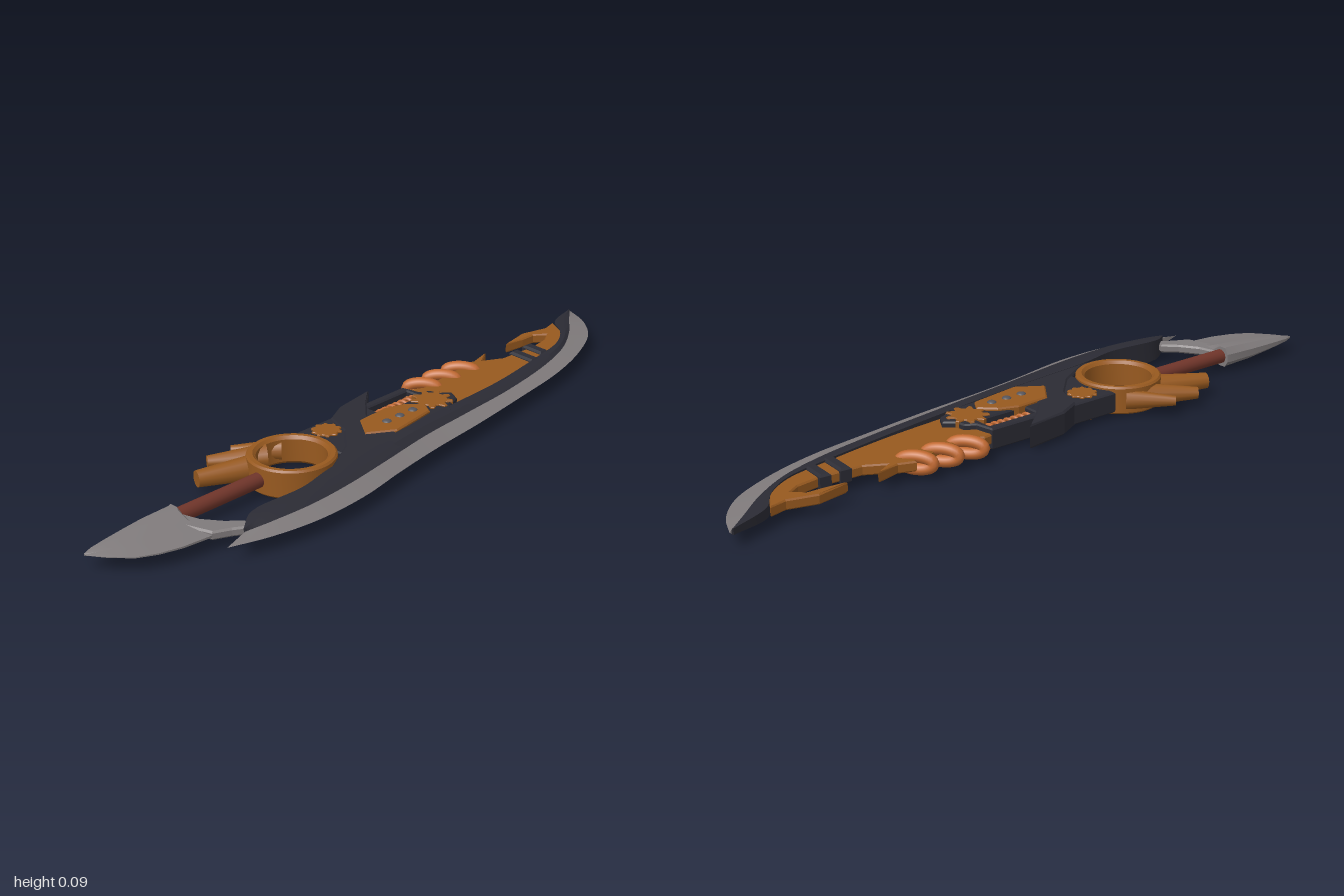
import * as THREE from 'three';
import { toCreasedNormals } from 'three/addons/utils/BufferGeometryUtils.js';

const MID = 0.039; // height of the symmetry plane

const mat = (name, color) => {
  const m = new THREE.MeshStandardMaterial({ color });
  m.name = name;
  return m;
};

// Flat plate: outline in (x, z), centred on the symmetry plane
function plate(points, thick, bevel = 0, holes = []) {
  const toVec = (p) => new THREE.Vector2(p[0], p[1]);
  const shape = new THREE.Shape(points.map(toVec));
  holes.forEach((h) => shape.holes.push(new THREE.Path(h.map(toVec))));
  const depth = thick - 2 * bevel;
  const g = new THREE.ExtrudeGeometry(shape, {
    depth, bevelEnabled: bevel > 0, bevelSize: bevel, bevelOffset: -bevel,
    bevelThickness: bevel, bevelSegments: 1,
  });
  g.translate(0, 0, -depth / 2);
  g.rotateX(Math.PI / 2);
  g.translate(0, MID, 0);
  return g;
}

// Skin over closed rings of [x, y, z], counter-clockwise, ordered toward +z
function loft(rings) {
  const pos = [];
  const tri = (a, b, c) => pos.push(...a, ...b, ...c);
  const n = rings[0].length;
  for (let s = 0; s < rings.length - 1; s++) {
    const a = rings[s], b = rings[s + 1];
    for (let i = 0; i < n; i++) {
      const j = (i + 1) % n;
      tri(a[i], a[j], b[j]);
      tri(a[i], b[j], b[i]);
    }
  }
  const first = rings[0], last = rings[rings.length - 1];
  for (let i = 1; i < n - 1; i++) {
    tri(first[0], first[i + 1], first[i]);
    tri(last[0], last[i], last[i + 1]);
  }
  const g = new THREE.BufferGeometry();
  g.setAttribute('position', new THREE.Float32BufferAttribute(pos, 3));
  g.computeVertexNormals();
  return toCreasedNormals(g, 0.5);
}

export function createModel() {
  const group = new THREE.Group();
  const bronze = mat('bronze', 0x97591f);
  const copper = mat('copper', 0xc26a32);
  const dark = mat('darkMetal', 0x2b2b34);
  const steel = mat('steel', 0x7f7a7b);
  const leather = mat('redGrip', 0x70352a);
  const studMetal = mat('studMetal', 0x55545a);
  const add = (name, geometry, material) => {
    const m = new THREE.Mesh(geometry, material);
    m.name = name;
    group.add(m);
    return m;
  };

  // Long curved rail and cutting edge: [x, z] along inner, seam and outer curves
  const inner = [[-0.19, -0.985], [-0.15, -0.87], [-0.085, -0.815], [-0.035, -0.735], [-0.005, -0.6],
    [0.03, -0.39], [0.05, -0.18], [0.065, 0], [0.08, 0.17], [0.095, 0.33], [0.12, 0.45], [0.118, 0.62], [0.155, 0.68]];
  const seam = [[-0.188, -0.99], [-0.135, -0.92], [-0.075, -0.845], [-0.01, -0.735], [0.035, -0.6],
    [0.075, -0.39], [0.1, -0.18], [0.12, 0], [0.15, 0.18], [0.174, 0.34], [0.184, 0.48], [0.175, 0.61], [0.16, 0.68]];
  const outer = [[-0.187, -0.995], [-0.115, -0.96], [-0.035, -0.885], [0.03, -0.76], [0.08, -0.6],
    [0.115, -0.39], [0.145, -0.18], [0.165, 0], [0.19, 0.165], [0.222, 0.34], [0.228, 0.5], [0.207, 0.64], [0.172, 0.75]];
  const half = [0.008, 0.014, 0.016, 0.018, 0.019, 0.021, 0.028, 0.033, 0.034, 0.034, 0.033, 0.029, 0.02];
  const curve = (pts) => new THREE.CatmullRomCurve3(pts.map((p, i) => new THREE.Vector3(p[0], half[i], p[1])));
  const [ci, cs, co] = [inner, seam, outer].map(curve);
  const railRings = [], edgeRings = [];
  for (let k = 0; k <= 72; k++) {
    const i = ci.getPoint(k / 72), s = cs.getPoint(k / 72), o = co.getPoint(k / 72);
    const h = i.y, e = h * 0.6, m = i.clone().lerp(s, 0.6);
    railRings.push([[i.x, MID - h, i.z], [m.x, MID - h, m.z], [s.x, MID - e, s.z],
      [s.x, MID + e, s.z], [m.x, MID + h, m.z], [i.x, MID + h, i.z]]);
    edgeRings.push([[s.x, MID - e, s.z], [o.x, MID, o.z], [s.x, MID + e, s.z]]);
  }
  add('bladeRail', loft(railRings), dark);
  add('cuttingEdge', loft(edgeRings), steel);

  // Bronze web with hook and barb
  add('innerWeb', plate([[-0.15, -0.86], [-0.08, -0.82], [-0.02, -0.73], [0.01, -0.6], [0.045, -0.39],
    [0.07, -0.16], [-0.12, -0.16], [-0.125, -0.2], [-0.105, -0.24], [-0.125, -0.42], [-0.145, -0.43],
    [-0.128, -0.475], [-0.142, -0.545], [-0.112, -0.495], [-0.082, -0.55], [-0.075, -0.67], [-0.085, -0.74],
    [-0.105, -0.775], [-0.13, -0.745], [-0.132, -0.7], [-0.142, -0.635], [-0.162, -0.73], [-0.14, -0.81]],
  0.028, 0.004), bronze);

  // Dark straps across the web
  [[-0.05, -0.658, 0.075], [-0.04, -0.596, 0.09]].forEach(([x, z, w]) => {
    const strap = add('strap', plate([[-w / 2, -0.016], [w / 2, -0.016], [w / 2, 0.016], [-w / 2, 0.016]], 0.044, 0.006), dark);
    strap.position.set(x, 0, z);
    strap.rotation.y = -0.08;
  });

  // Copper links wrapped around the web
  for (const z of [-0.415, -0.335, -0.255]) {
    const pts = [];
    for (let k = 0; k < 16; k++) {
      const a = (k / 16) * Math.PI * 2;
      pts.push(new THREE.Vector3(Math.cos(a) * 0.035, Math.sin(a) * 0.017, -Math.cos(a) * 0.026));
    }
    const link = add('link', new THREE.TubeGeometry(new THREE.CatmullRomCurve3(pts, true), 32, 0.016, 10, true), copper);
    link.position.set(-0.123, MID, z);
  }

  // Mechanism housing with a window for the spring
  add('housing', plate([[-0.125, -0.175], [-0.07, -0.185], [-0.055, -0.212], [-0.03, -0.215], [-0.005, -0.245],
    [0.03, -0.225], [0.045, -0.18], [0.08, -0.15], [0.12, 0.15], [0.13, 0.43], [0.115, 0.41], [0.085, 0.31],
    [0.045, 0.24], [-0.125, 0.245]], 0.058, 0.004,
  [[[-0.1, -0.165], [-0.05, -0.165], [-0.05, -0.01], [-0.1, -0.01]]]), dark);
  add('sweptGuard', plate([[-0.172, -0.09], [-0.115, -0.025], [-0.06, 0.03], [0.09, 0.06], [0.13, 0.43],
    [0.115, 0.41], [0.085, 0.31], [0.03, 0.21], [-0.04, 0.14], [-0.12, 0.11], [-0.155, 0.04]], 0.066, 0.005), dark);

  // Coil spring
  const coil = [];
  for (let k = 0; k <= 96; k++) {
    const a = (k / 12) * Math.PI * 2;
    coil.push(new THREE.Vector3(-0.075 + Math.cos(a) * 0.018, MID + Math.sin(a) * 0.018, -0.17 + (k / 96) * 0.165));
  }
  add('spring', new THREE.TubeGeometry(new THREE.CatmullRomCurve3(coil), 160, 0.005, 6), copper);

  // Gears
  const gear = (name, x, z, r0, r1, teeth, thick) => {
    const pts = [];
    for (let k = 0; k < teeth * 4; k++) {
      const a = (k / (teeth * 4)) * Math.PI * 2, r = k % 4 < 2 ? r1 : r0;
      pts.push([x + Math.cos(a) * r, z + Math.sin(a) * r]);
    }
    add(name, plate(pts, thick, 0.002), bronze);
  };
  gear('largeGear', -0.008, -0.165, 0.042, 0.058, 9, 0.066);
  gear('smallGear', -0.075, 0.17, 0.035, 0.041, 10, 0.068);

  // Hexagonal cover with studs on both faces
  add('cover', plate([[-0.035, -0.085], [0.005, -0.125], [0.045, -0.1], [0.067, 0.05], [0.02, 0.122],
    [-0.05, 0.07], [-0.055, -0.03]], 0.074, 0.004), bronze);
  for (const z of [-0.07, -0.02, 0.03]) {
    for (const side of [-1, 1]) {
      const stud = add('stud', new THREE.SphereGeometry(0.013, 14, 10), studMetal);
      stud.scale.y = 0.5;
      stud.position.set(0.01, MID + side * 0.036, z);
    }
  }

  // Finger ring
  const profile = [[0.112, 0], [0.117, 0.005], [0.117, 0.073], [0.112, 0.078], [0.1, 0.078], [0.092, 0.07],
    [0.092, 0.008], [0.1, 0], [0.112, 0]].map((p) => new THREE.Vector2(p[0], p[1]));
  add('ring', toCreasedNormals(new THREE.LatheGeometry(profile, 48), 0.5), bronze).position.set(-0.035, 0, 0.335);

  // Tapered prongs fanning from the ring
  const up = new THREE.Vector3(0, 1, 0);
  const rod = (name, a, b, r0, r1, material, sides) => {
    const A = new THREE.Vector3(a[0], MID, a[1]), B = new THREE.Vector3(b[0], MID, b[1]);
    const m = add(name, new THREE.CylinderGeometry(r1, r0, A.distanceTo(B), sides), material);
    m.position.copy(A).lerp(B, 0.5);
    m.quaternion.setFromUnitVectors(up, B.sub(A).normalize());
  };
  rod('prong', [-0.125, 0.285], [-0.217, 0.38], 0.028, 0.013, bronze, 12);
  rod('prong', [-0.125, 0.34], [-0.21, 0.468], 0.033, 0.016, bronze, 12);
  rod('prong', [-0.1, 0.405], [-0.155, 0.553], 0.034, 0.022, bronze, 12);

  // Grip rod
  rod('grip', [-0.037, 0.44], [-0.037, 0.75], 0.02, 0.02, leather, 20);

  // Rear blade: [z, left x, right x, half thickness]
  const tail = [[0.725, -0.066, 0.045, 0.028], [0.735, -0.068, 0.104, 0.028], [0.82, -0.07, 0.095, 0.024],
    [0.88, -0.067, 0.078, 0.019], [0.93, -0.063, 0.052, 0.014], [0.975, -0.057, 0, 0.008], [1, -0.048, -0.04, 0.003]];
  add('rearBlade', loft(tail.map(([z, l, r, h]) => {
    const w = r - l, p = (f, y) => [l + w * f, MID + y * h, z];
    return [p(0, -0.4), p(0.1, -1), p(0.3, -1), p(0.5, -0.5), p(1, -0.1),
      p(1, 0.1), p(0.5, 0.5), p(0.3, 1), p(0.1, 1), p(0, 0.4)];
  })), steel);
  add('rearBladeArm', plate([[-0.03, 0.722], [0.03, 0.705], [0.08, 0.672], [0.115, 0.635], [0.15, 0.65],
    [0.125, 0.69], [0.104, 0.735], [0.02, 0.76]], 0.024, 0.005), steel);

  return group;
}
